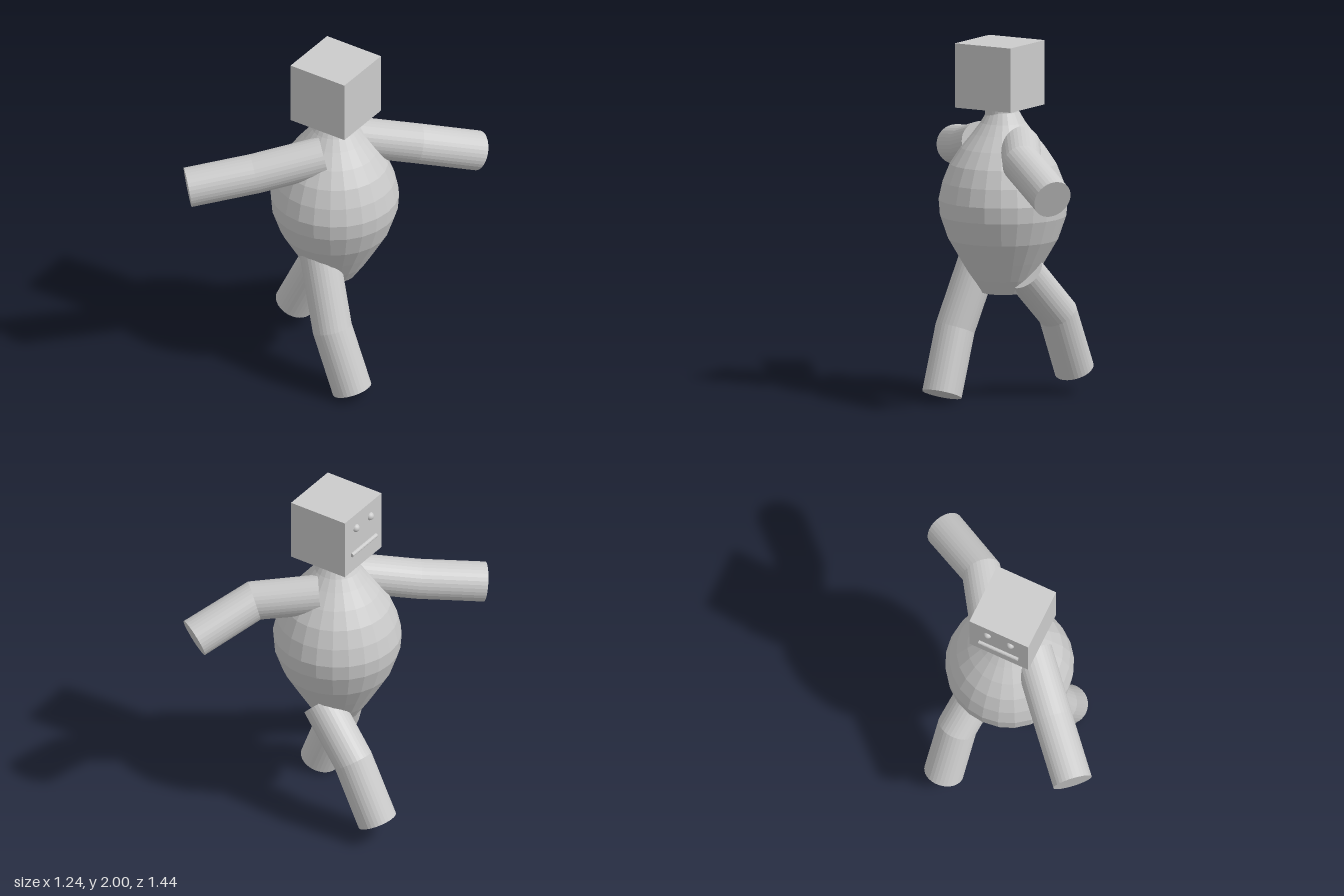
import * as THREE from 'three';

const material = new THREE.MeshStandardMaterial({ color: 0xcccccc, flatShading: true });
const smooth = new THREE.MeshStandardMaterial({ color: 0xcccccc });
const V = (p) => new THREE.Vector3(...p);

function add(group, name, geometry, mat, position = [0, 0, 0]) {
  const mesh = new THREE.Mesh(geometry, mat);
  mesh.name = name;
  mesh.position.set(...position);
  group.add(mesh);
  return mesh;
}

// Bent limb: a ring of vertices at root, joint and tip, with flat end caps
function limbGeometry(path, radius, sides = 32) {
  const pts = path.map(V);
  const dirs = pts.slice(1).map((p, i) => p.clone().sub(pts[i]).normalize());
  const tangents = [dirs[0], dirs[0].clone().add(dirs[1]).normalize(), dirs[1]];
  const positions = [], index = [];
  let u = new THREE.Vector3(0, 0, 1);
  if (Math.abs(dirs[0].y) < 0.6) u.set(0, 1, 0);
  pts.forEach((p, r) => {
    const t = tangents[r];
    u = u.clone().addScaledVector(t, -u.dot(t)).normalize();
    const w = t.clone().cross(u);
    for (let i = 0; i < sides; i++) {
      const a = (i / sides) * Math.PI * 2;
      const q = p.clone().addScaledVector(u, Math.cos(a) * radius).addScaledVector(w, Math.sin(a) * radius);
      positions.push(q.x, q.y, q.z);
    }
  });
  const root = sides * 3, tip = root + 1;
  positions.push(...path[0], ...path[2]);
  for (let i = 0; i < sides; i++) {
    const j = (i + 1) % sides;
    for (let r = 0; r < 2; r++) {
      const a = r * sides + i, b = r * sides + j;
      index.push(a, b, b + sides, a, b + sides, a + sides);
    }
    index.push(root, j, i, tip, 2 * sides + i, 2 * sides + j);
  }
  const g = new THREE.BufferGeometry();
  g.setAttribute('position', new THREE.Float32BufferAttribute(positions, 3));
  g.setIndex(index);
  g.computeVertexNormals();
  return g;
}

export function createModel() {
  const model = new THREE.Group();
  model.name = 'walkingFigure';

  // Pear-shaped body, closed at the bottom
  const profile = [
    [0, 0.6], [0.12, 0.6], [0.175, 0.68], [0.235, 0.78], [0.305, 0.9], [0.35, 1.03], [0.357, 1.12],
    [0.335, 1.22], [0.295, 1.32], [0.235, 1.41], [0.17, 1.49], [0.125, 1.55], [0.09, 1.61], [0, 1.61],
  ].map(([x, y]) => new THREE.Vector2(x, y));
  add(model, 'body', new THREE.LatheGeometry(profile, 24), material, [0.005, 0, -0.012]);

  add(model, 'neck', new THREE.CylinderGeometry(0.085, 0.085, 0.07, 32), material, [0.015, 1.615, 0]);

  // Cube head with its face on the -x side
  const head = new THREE.Group();
  head.name = 'head';
  head.position.set(0.02, 1.82, 0);
  model.add(head);
  add(head, 'skull', new THREE.BoxGeometry(0.36, 0.36, 0.36), material);
  for (const z of [-0.07, 0.07]) {
    add(head, 'eye', new THREE.SphereGeometry(0.024, 16, 12), smooth, [-0.176, 0.088, z]);
  }
  const mouth = add(head, 'mouth', new THREE.CylinderGeometry(0.013, 0.013, 0.24, 12), material, [-0.184, -0.065, 0]);
  mouth.rotation.x = Math.PI / 2;

  // Limbs: root inside the body, joint, tip
  const limbs = {
    frontArm: [[0.02, 1.435, 0.12], [-0.265, 1.355, 0.38], [-0.54, 1.3, 0.632]],
    backArm: [[0.03, 1.43, -0.14], [0.335, 1.385, -0.342], [0.523, 1.238, -0.655]],
    frontLeg: [[0.0, 0.81, 0.135], [0.143, 0.395, 0.215], [0.277, 0.043, 0.217]],
    backLeg: [[0.01, 0.72, -0.155], [-0.24, 0.465, -0.215], [-0.405, 0.13, -0.22]],
  };
  for (const [name, path] of Object.entries(limbs)) add(model, name, limbGeometry(path, 0.111), material);

  return model;
}
